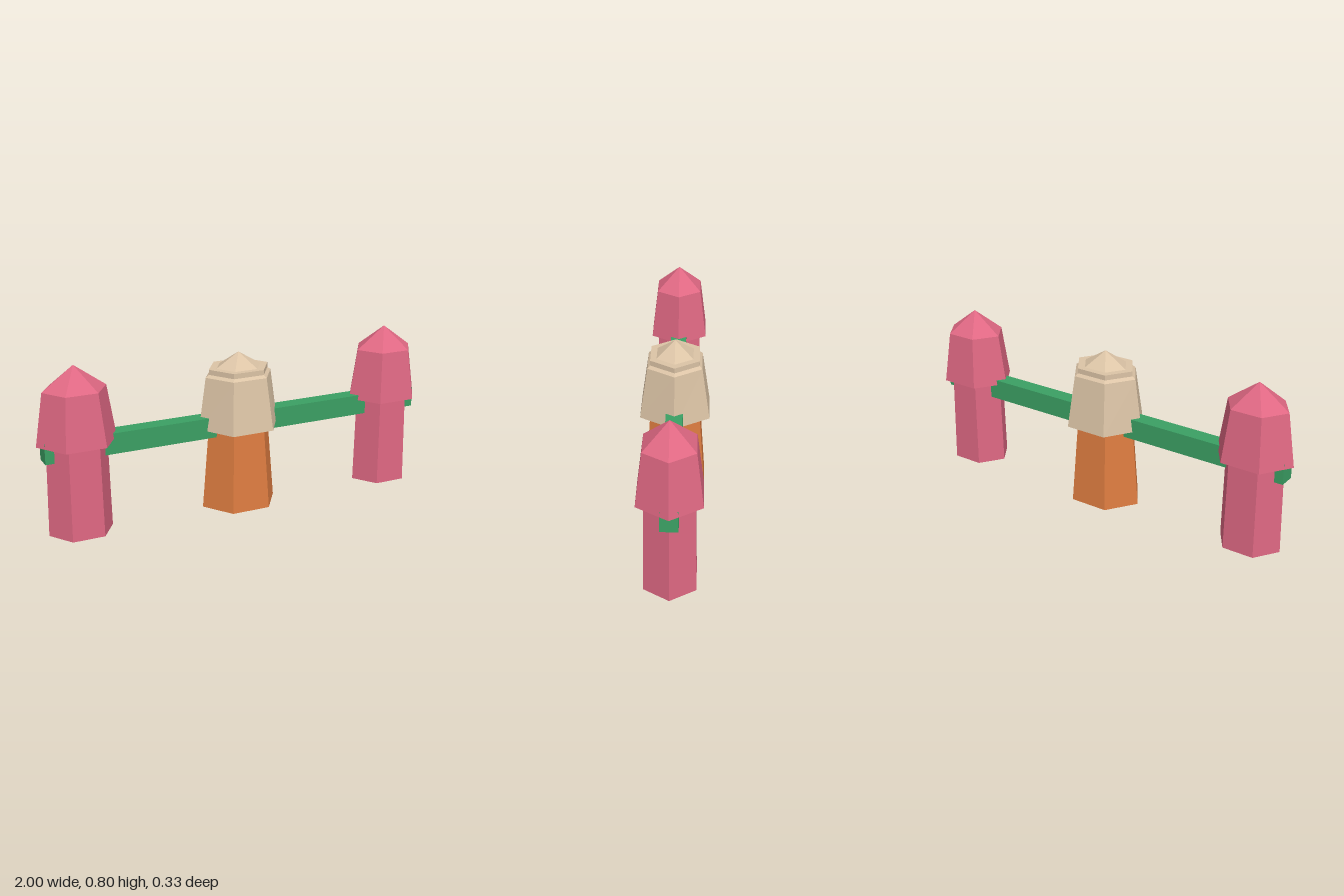
import * as THREE from 'three';

// Flat-faced hexagonal frustum with corners on the x axis, squashed in z.
// xb, xt: half widths at bottom and top; zb, zt: half depths.
function hexFrustum(xb, xt, y0, y1, zb = xb * 0.75, zt = xt * 0.75) {
  const pointed = xt === 0;
  const indexed = new THREE.CylinderGeometry(pointed ? 0 : 1, 1, 1, 6, 1, false, Math.PI / 2);
  const geo = indexed.toNonIndexed();
  const pos = geo.attributes.position;
  const half = Math.sqrt(3) / 2;
  for (let i = 0; i < pos.count; i++) {
    const top = pos.getY(i) > 0;
    pos.setXYZ(
      i,
      pos.getX(i) * (top ? (pointed ? 1 : xt) : xb),
      top ? y1 : y0,
      pos.getZ(i) * (top ? (pointed ? 1 : zt) : zb) / half
    );
  }
  geo.computeVertexNormals();
  return geo;
}

function addPart(parent, name, geometry, material) {
  const mesh = new THREE.Mesh(geometry, material);
  mesh.name = name;
  parent.add(mesh);
  return mesh;
}

function makeMaterial(name, color) {
  const material = new THREE.MeshStandardMaterial({ color });
  material.name = name;
  return material;
}

export function createModel() {
  const model = new THREE.Group();
  model.name = 'threePostBeam';

  const pink = makeMaterial('rosePink', 0xdf6883);
  const orange = makeMaterial('burntOrange', 0xdd7c40);
  const tan = makeMaterial('sandTan', 0xdcc4a6);
  const green = makeMaterial('beamGreen', 0x3ba064);

  // Outer posts: tapered shaft, wider hood and pointed roof
  for (const side of [-1, 1]) {
    const post = new THREE.Group();
    post.name = side > 0 ? 'leftPost' : 'rightPost';
    post.position.x = side * 0.81;
    addPart(post, 'shaft', hexFrustum(0.154, 0.145, 0, 0.45), pink);
    addPart(post, 'hood', hexFrustum(0.19, 0.15, 0.44, 0.69), pink);
    addPart(post, 'roof', hexFrustum(0.15, 0, 0.69, 0.8), pink);
    model.add(post);
  }

  // Centre post: flared base, sleeve, shoulder, collar and small point
  const centre = new THREE.Group();
  centre.name = 'centrePost';
  addPart(centre, 'base', hexFrustum(0.192, 0.157, 0, 0.41), orange);
  addPart(centre, 'sleeve', hexFrustum(0.208, 0.171, 0.402, 0.655, 0.165, 0.129), tan);
  addPart(centre, 'shoulder', hexFrustum(0.171, 0.15, 0.655, 0.67, 0.129, 0.113), tan);
  addPart(centre, 'collar', hexFrustum(0.154, 0.154, 0.667, 0.692), tan);
  addPart(centre, 'point', hexFrustum(0.115, 0, 0.692, 0.763), tan);
  model.add(centre);

  // Beam running through all three posts
  const beam = addPart(model, 'beam', new THREE.BoxGeometry(1.944, 0.1, 0.08), green);
  beam.position.y = 0.415;

  return model;
}
